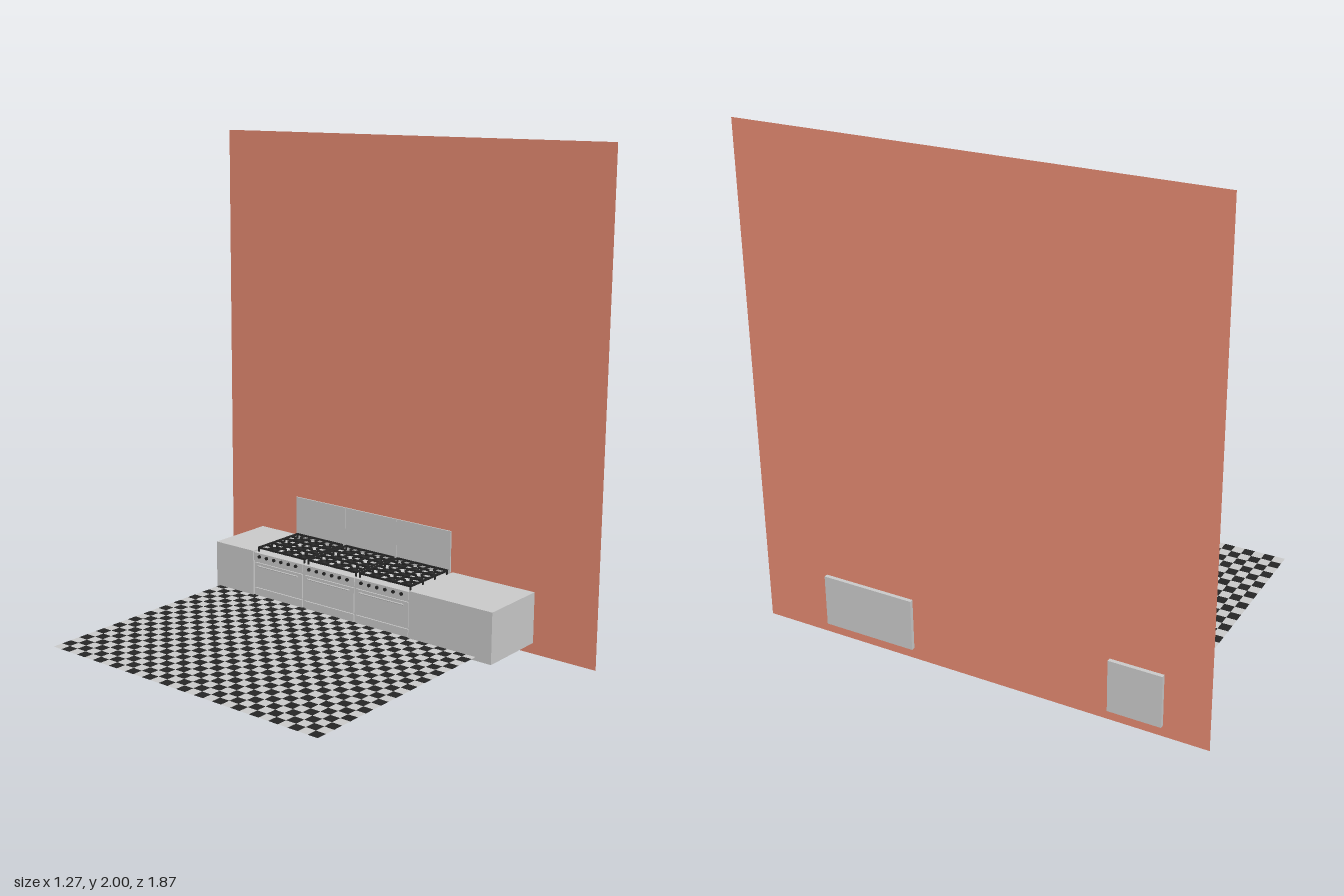
import * as THREE from 'three';
import { mergeGeometries } from 'three/addons/utils/BufferGeometryUtils.js';

const grey = new THREE.MeshStandardMaterial({ color: 0xcccccc });
const greySheet = new THREE.MeshStandardMaterial({ color: 0xcccccc, side: THREE.DoubleSide });
const black = new THREE.MeshStandardMaterial({ color: 0x262626 });
const blackSheet = new THREE.MeshStandardMaterial({ color: 0x262626, side: THREE.DoubleSide });
const terracotta = new THREE.MeshStandardMaterial({ color: 0xe78b72, side: THREE.DoubleSide });

// Box geometry given by its limits on each axis
function slab(x0, x1, y0, y1, z0, z1) {
  return new THREE.BoxGeometry(x1 - x0, y1 - y0, z1 - z0)
    .translate((x0 + x1) / 2, (y0 + y1) / 2, (z0 + z1) / 2);
}

function add(parent, name, geometry, material) {
  const mesh = new THREE.Mesh(geometry, material);
  mesh.name = name;
  parent.add(mesh);
  return mesh;
}

// Checkered floor, running under the counters to the wall
function makeFloor() {
  const floor = new THREE.Group();
  floor.name = 'floor';
  const cell = 1.325 / 30, light = [], dark = [];
  for (let i = 0; i < 28; i++) {
    for (let j = 0; j < 30; j++) {
      const tile = new THREE.PlaneGeometry(cell, cell).rotateX(-Math.PI / 2)
        .translate(-0.64 + (i + 0.5) * cell, 0.06, -0.74 + (j + 0.5) * cell);
      ((i + j) % 2 ? dark : light).push(tile);
    }
  }
  add(floor, 'lightTiles', mergeGeometries(light), greySheet);
  add(floor, 'darkTiles', mergeGeometries(dark), blackSheet);
  return floor;
}

// One cooker, centred on its own z = 0, with its front facing -x
function makeCooker() {
  const cooker = new THREE.Group();
  cooker.name = 'cooker';
  const h = 0.136;
  add(cooker, 'body', slab(0.325, 0.61, 0.045, 0.248, -h, h), grey);
  add(cooker, 'backsplash', slab(0.599, 0.605, 0.248, 0.432, -h + 0.001, h - 0.001), grey);
  add(cooker, 'controlPanel', slab(0.316, 0.33, 0.215, 0.25, -h + 0.002, h - 0.002), grey);
  add(cooker, 'ovenDoor', slab(0.319, 0.33, 0.1, 0.205, -h + 0.006, h - 0.006), grey);
  add(cooker, 'drawer', slab(0.319, 0.33, 0.055, 0.093, -h + 0.006, h - 0.006), grey);

  // Door handle on two posts
  const handle = [new THREE.CylinderGeometry(0.003, 0.003, 0.22, 8)
    .rotateX(Math.PI / 2).translate(0.313, 0.193, 0)];
  for (const z of [-0.1, 0.1]) handle.push(slab(0.312, 0.32, 0.191, 0.195, z - 0.003, z + 0.003));
  add(cooker, 'doorHandle', mergeGeometries(handle), grey);

  // Row of control knobs
  const knobs = [];
  for (let k = 0; k < 6; k++) {
    knobs.push(new THREE.CylinderGeometry(0.007, 0.007, 0.008, 12)
      .rotateZ(Math.PI / 2).translate(0.313, 0.236, -0.1 + k * 0.04));
  }
  add(cooker, 'knobs', mergeGeometries(knobs), black);

  // Burners with a pale ring round each cap
  const caps = [], rings = [];
  for (const x of [0.387, 0.463, 0.549]) {
    for (const z of [-0.08, 0, 0.08]) {
      caps.push(new THREE.CylinderGeometry(0.014, 0.016, 0.012, 16).translate(x, 0.255, z));
      rings.push(new THREE.TorusGeometry(0.019, 0.003, 6, 20).rotateX(Math.PI / 2).translate(x, 0.25, z));
    }
  }
  add(cooker, 'burnerCaps', mergeGeometries(caps), black);
  add(cooker, 'burnerRings', mergeGeometries(rings), grey);

  // Cast grate: outer frame, cross bars and short fingers toward each burner
  const bars = [], y0 = 0.262, y1 = 0.27, t = 0.003;
  const barX = (z, a, b) => bars.push(slab(a, b, y0, y1, z - t, z + t));
  const barZ = (x, a, b) => bars.push(slab(x - t, x + t, y0, y1, a, b));
  for (const z of [-0.125, -0.04, 0.04, 0.125]) barX(z, 0.337, 0.597);
  for (const x of [0.34, 0.425, 0.508, 0.594]) barZ(x, -0.125, 0.125);
  for (const z of [-0.08, 0, 0.08]) {
    for (const x of [0.387, 0.463, 0.549]) {
      barX(z, x - 0.04, x - 0.013);
      barX(z, x + 0.013, x + 0.04);
      barZ(x, z - 0.04, z - 0.013);
      barZ(x, z + 0.013, z + 0.04);
    }
  }
  for (const x of [0.34, 0.425, 0.508, 0.594]) {
    for (const z of [-0.125, 0.125]) bars.push(slab(x - t, x + t, 0.246, y0, z - t, z + t));
  }
  add(cooker, 'grate', mergeGeometries(bars), black);
  return cooker;
}

export function createModel() {
  const model = new THREE.Group();
  model.name = 'kitchenCorner';

  // Thin wall standing behind the units
  add(model, 'wall', new THREE.PlaneGeometry(1.87, 2).rotateY(Math.PI / 2)
    .translate(0.617, 1, 0), terracotta);
  model.add(makeFloor());

  // Counters at both ends, passing just through the wall
  add(model, 'longCounter', slab(0.314, 0.633, 0.045, 0.255, 0.268, 0.655), grey);
  add(model, 'shortCounter', slab(0.314, 0.633, 0.045, 0.255, -0.757, -0.547), grey);

  // Three cookers side by side
  for (const z of [-0.411, -0.139, 0.132]) {
    const cooker = makeCooker();
    cooker.position.z = z;
    model.add(cooker);
  }
  return model;
}
